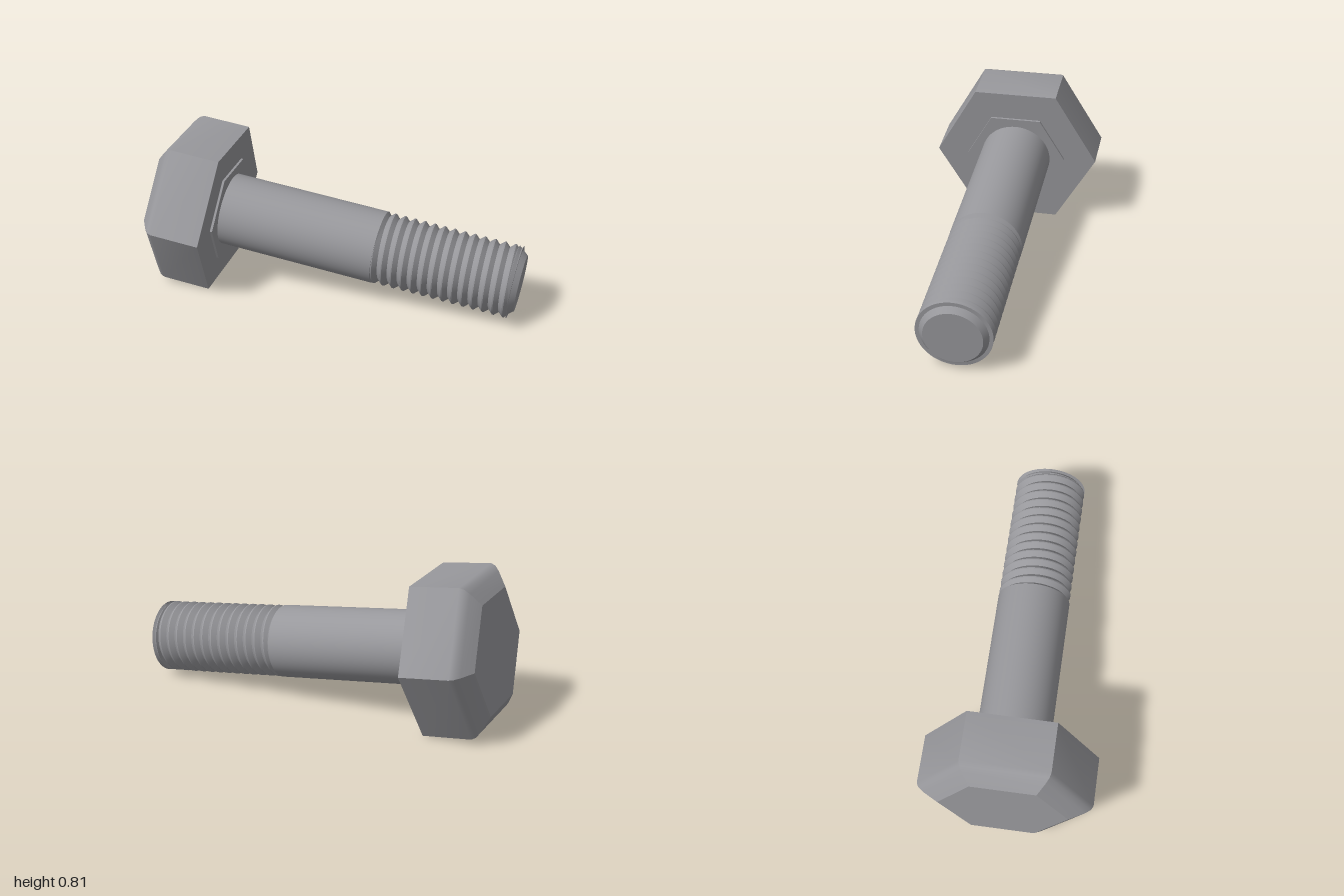
import * as THREE from 'three';
import { toCreasedNormals } from 'three/addons/utils/BufferGeometryUtils.js';

const HEX = Math.cos(Math.PI / 6); // apothem of a hexagon of circumradius 1
const SHAFT_R = 0.193, ROOT_R = 0.17, TIP_R = 0.148;
const THREAD_START = 0.855, THREAD_END = 1.585, TIP = 1.614, PITCH = 0.054;

const lathe = (profile, sides) =>
  new THREE.LatheGeometry(profile.map(([r, y]) => new THREE.Vector2(r, y)), sides);

// Zigzag profile wound into a helix: each vertex slides one pitch per turn
function threadGeometry() {
  const profile = [];
  const turns = Math.ceil((THREAD_END - THREAD_START) / PITCH) + 1;
  for (let i = -1; i < turns; i++) {
    const y = THREAD_START + i * PITCH;
    profile.push([SHAFT_R - 0.001, y], [SHAFT_R - 0.001, y + PITCH * 0.12], [ROOT_R, y + PITCH * 0.56]);
  }
  const sides = 64;
  const geometry = lathe(profile, sides);
  const pos = geometry.attributes.position;
  for (let i = 0; i < pos.count; i++) {
    const turn = Math.floor(i / profile.length) / sides;
    const y = pos.getY(i) + turn * PITCH;
    pos.setY(i, THREE.MathUtils.clamp(y, THREAD_START, THREAD_END));
  }
  return toCreasedNormals(geometry, 0.5);
}

export function createModel() {
  const steel = new THREE.MeshStandardMaterial({ color: 0x98989c });
  steel.name = 'steel grey';

  const model = new THREE.Group();
  model.name = 'hexBolt';
  // The bolt runs along local +y from the underside of its head, lying tilted
  const bolt = new THREE.Group();
  bolt.name = 'bolt';
  bolt.position.set(-0.622, 0.391, 0);
  bolt.rotation.z = -THREE.MathUtils.degToRad(96.76);
  model.add(bolt);

  const add = (name, geometry) => {
    const mesh = new THREE.Mesh(geometry, steel);
    mesh.name = name;
    bolt.add(mesh);
  };

  // Hexagonal head with a rounded chamfer around its outer face
  const head = [[0, -0.348], [0.287, -0.348], [0.355, -0.305], [0.38, -0.283],
    [0.39, -0.26], [0.39, 0], [0, 0]].map(([apothem, y]) => [apothem / HEX, y]);
  add('head', toCreasedNormals(lathe(head, 6), 0.5));

  // Thin raised hexagon under the head
  add('bearingPad', toCreasedNormals(lathe([[0.275, -0.005], [0.275, 0.012], [0, 0.012]], 6), 0.5));

  // Plain shank
  add('shank', toCreasedNormals(
    lathe([[SHAFT_R, 0], [SHAFT_R, THREAD_START], [ROOT_R, THREAD_START + 0.02]], 64), 0.5));

  add('thread', threadGeometry());

  // Chamfered tip, closing the last turn of the thread
  add('tip', toCreasedNormals(
    lathe([[ROOT_R, THREAD_END - 0.03], [SHAFT_R - 0.004, THREAD_END - 0.022], [0.172, THREAD_END],
      [TIP_R, TIP], [0, TIP]], 64), 0.3));

  return model;
}
